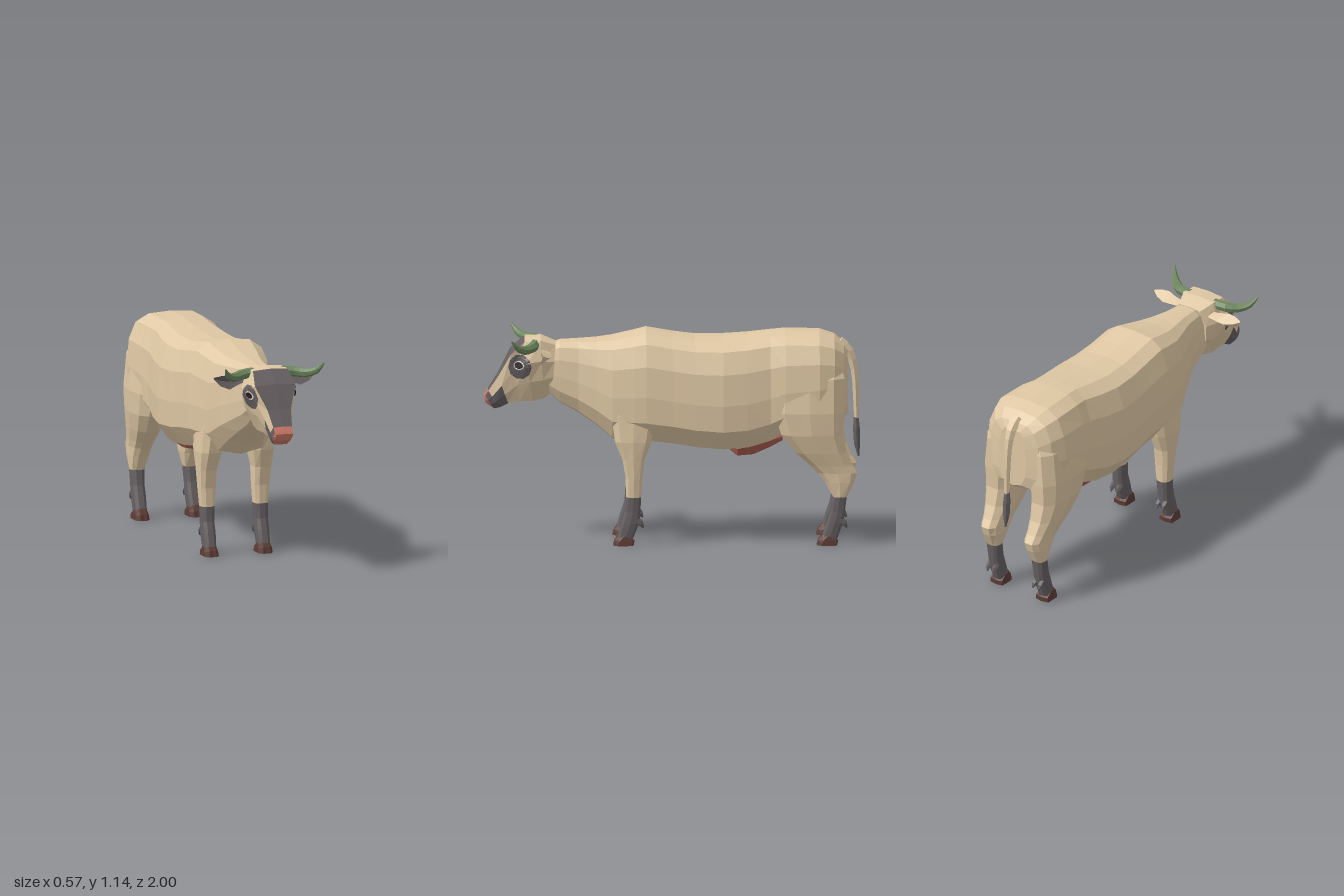
import * as THREE from 'three';

const paint = (name, color) => Object.assign(new THREE.MeshStandardMaterial({ color }), { name });
const tan = paint('tan hide', 0xdfc8a4);
const grey = paint('grey hide', 0x676063);
const nosePink = paint('nose pink', 0xcc7967);
const udderPink = paint('udder pink', 0xae6052);
const green = paint('horn green', 0x6f8860);
const brown = paint('hoof brown', 0x5c3c35);
const white = paint('eye white', 0xe8e4dc);
const dark = paint('eye dark', 0x2a1f1e);

const V = (x, y, z) => new THREE.Vector3(x, y, z);

// Faceted closed skin through rings of points; pick(i, j) gives each quad's material.
function loft(name, rings, materials, pick = () => 0, endPick = 0) {
  const lists = materials.map(() => []);
  const n = rings[0].length;
  let volume = 0;
  const tri = (m, a, b, c) => {
    lists[m].push([a, b, c]);
    volume += a.dot(b.clone().cross(c));
  };
  for (let i = 0; i < rings.length - 1; i++) {
    for (let j = 0; j < n; j++) {
      const k = (j + 1) % n, m = pick(i, j);
      tri(m, rings[i][j], rings[i][k], rings[i + 1][k]);
      tri(m, rings[i][j], rings[i + 1][k], rings[i + 1][j]);
    }
  }
  const cap = (ring, m, flip) => {
    const mid = ring.reduce((s, p) => s.add(p), V(0, 0, 0)).divideScalar(n);
    ring.forEach((p, j) => {
      const q = ring[(j + 1) % n];
      flip ? tri(m, mid, q, p) : tri(m, mid, p, q);
    });
  };
  cap(rings[0], pick(0, 0), true);
  cap(rings[rings.length - 1], endPick, false);
  // Turn the skin outward whichever way the rings run
  const geo = new THREE.BufferGeometry(), pts = [];
  lists.forEach((list, m) => {
    geo.addGroup(pts.length, list.length * 3, m);
    list.forEach(([a, b, c]) => pts.push(...(volume < 0 ? [a, c, b] : [a, b, c])));
  });
  geo.setFromPoints(pts);
  geo.computeVertexNormals();
  const mesh = new THREE.Mesh(geo, materials.length > 1 ? materials : materials[0]);
  mesh.name = name;
  return mesh;
}

const mirrorRings = (rings, s) => rings.map(r => r.map(p => V(p.x * s, p.y, p.z)));
// Half outline from top centre to bottom centre, completed on the other side
const wholeRing = half => [...half, ...half.slice(1, -1).reverse().map(p => V(-p.x, p.y, p.z))];

// Rings of changing radius along a curve
function tubeRings(points, radii, sides, steps) {
  const curve = new THREE.CatmullRomCurve3(points);
  const { normals, binormals } = curve.computeFrenetFrames(steps);
  return Array.from({ length: steps + 1 }, (_, i) => {
    const f = i / steps * (radii.length - 1), k = Math.min(Math.floor(f), radii.length - 2);
    const r = THREE.MathUtils.lerp(radii[k], radii[k + 1], f - k), c = curve.getPoint(i / steps);
    return Array.from({ length: sides }, (_, j) => {
      const a = j / sides * Math.PI * 2;
      return c.clone().addScaledVector(normals[i], r * Math.cos(a)).addScaledVector(binormals[i], r * Math.sin(a));
    });
  });
}

// Level leg ring from [y, front z, back z, inner x, outer x]
const legRing = ([y, f, b, xi, xo]) => Array.from({ length: 10 }, (_, j) => {
  const a = j / 10 * Math.PI * 2, soft = v => Math.sign(v) * Math.abs(v) ** 0.75;
  return V((xi + xo) / 2 + soft(Math.cos(a)) * (xo - xi) / 2, y, (f + b) / 2 + soft(Math.sin(a)) * (f - b) / 2);
});

function makeLeg(name, rows, s, hoofFront, hoofBack) {
  const leg = new THREE.Group();
  leg.name = name;
  const isSock = i => (rows[i][0] < 0.27 ? 1 : 0);
  leg.add(loft('legAndSock', mirrorRings(rows.map(legRing), s), [tan, grey], isSock, 1));
  // Cloven hoof and dewclaws; the toes rise toward the cleft
  for (const [cleft, rim] of [[0.151, 0.112], [0.151, 0.192]]) {
    const c = (cleft + rim) / 2;
    const toe = [[0, 0, hoofFront, hoofBack], [0.025, 0.002, hoofFront - 0.008, hoofBack - 0.002], [0.05, 0.006, hoofFront - 0.032, hoofBack + 0.03]]
      .map(([y, inset, f, r]) => {
        const edge = rim + Math.sign(cleft - rim) * inset, lift = y * 0.35;
        return [V(cleft, y, r), V(edge, y, r + 0.008), V(edge, y, f - 0.03), V(c, y + lift * 0.5, f - 0.004), V(cleft, y + lift, f - 0.008)];
      });
    leg.add(loft('toe', mirrorRings(toe, s), [brown]));
    const z = hoofBack - 0.025;
    const claw = tubeRings([V(c, 0.135, z + 0.01), V(c, 0.115, z - 0.012), V(c, 0.095, z - 0.025)], [0.016, 0.014, 0.004], 5, 2);
    leg.add(loft('dewclaw', mirrorRings(claw, s), [grey]));
  }
  return leg;
}

// Thin oval laid on the side of the head by casting rays inward
function sideDecal(name, head, s, [y, z, ry, rz], lift, material) {
  const ray = new THREE.Raycaster();
  const at = (k, j) => {
    const a = j / 10 * Math.PI * 2;
    const p = V(s, y + Math.sin(a) * ry * k, z + Math.cos(a) * rz * k);
    ray.set(p, V(-s, 0, 0));
    const hit = ray.intersectObject(head)[0];
    return V(hit ? hit.point.x + s * lift : s * 0.08, p.y, p.z);
  };
  const pts = [], levels = 4;
  for (let i = 0; i < levels; i++) for (let j = 0; j < 10; j++) {
    const a = at(i / levels, j), b = at((i + 1) / levels, j), c = at((i + 1) / levels, j + 1), d = at(i / levels, j + 1);
    pts.push(...(s > 0 ? [a, c, b, a, d, c] : [a, b, c, a, c, d]));
  }
  const geo = new THREE.BufferGeometry().setFromPoints(pts);
  geo.computeVertexNormals();
  const mesh = new THREE.Mesh(geo, material);
  mesh.name = name;
  return mesh;
}

export function createModel() {
  const cow = new THREE.Group();
  cow.name = 'cow';

  // Neck and barrel: z, top, bottom, half width
  const outline = [[0, 1], [0.5, 0.985], [0.78, 0.91], [0.95, 0.72], [1, 0.45], [0.97, 0.22], [0.66, 0.05], [0, 0]];
  const bodyRows = [
    [0.66, 1.05, 0.8, 0.09], [0.6, 1.08, 0.745, 0.1], [0.5, 1.085, 0.69, 0.115], [0.4, 1.09, 0.62, 0.155],
    [0.32, 1.1, 0.55, 0.19], [0.2, 1.125, 0.54, 0.22], [0.14, 1.14, 0.535, 0.23], [0, 1.115, 0.52, 0.235],
    [-0.12, 1.1, 0.5, 0.245], [-0.27, 1.1, 0.487, 0.255], [-0.4, 1.11, 0.495, 0.24], [-0.52, 1.125, 0.53, 0.22],
    [-0.6, 1.13, 0.58, 0.235], [-0.78, 1.125, 0.62, 0.243], [-0.86, 1.1, 0.65, 0.215], [-0.91, 1.06, 0.66, 0.165],
    [-0.93, 1.02, 0.68, 0.09]];
  cow.add(loft('body', bodyRows.map(([z, t, b, w]) =>
    wholeRing(outline.map(([x, k]) => V(x * w, b + k * (t - b), z)))), [tan]));

  // Head: top z and y, bottom z and y, half widths from brow down to chin
  const headRows = [
    [0.62, 1.07, 0.64, 0.8, 0.07, 0.105, 0.1, 0.05], [0.7, 1.1, 0.68, 0.765, 0.1, 0.13, 0.11, 0.06],
    [0.785, 1.095, 0.74, 0.75, 0.098, 0.148, 0.11, 0.06], [0.86, 1.025, 0.81, 0.75, 0.114, 0.103, 0.085, 0.05],
    [0.925, 0.9, 0.87, 0.74, 0.065, 0.076, 0.065, 0.04], [0.978, 0.817, 0.915, 0.72, 0.053, 0.062, 0.06, 0.04],
    [0.995, 0.79, 0.945, 0.714, 0.05, 0.057, 0.052, 0.034], [1, 0.78, 0.99, 0.745, 0.044, 0.046, 0.042, 0.026]];
  const headRings = headRows.map(([tz, ty, bz, by, ...w]) => wholeRing(
    [[0, 1], [w[0], 0.98], [w[1], 0.66], [w[2], 0.35], [w[3], 0.03], [0, 0]].map(([x, k]) =>
      V(x, by + k * (ty - by), bz + k * (tz - bz)))));
  const head = loft('head', headRings, [tan, grey, nosePink], (i, j) => {
    const h = Math.min(j, 9 - j);
    if (i === 6 || (i === 5 && h === 0)) return 2;
    return i === 5 || (h === 0 && i >= 2) || (h >= 2 && i === 4) ? 1 : 0;
  }, 2);
  cow.add(head);
  head.updateMatrixWorld();

  const foreRows = [
    [0.88, 0.28, 0.1, 0.04, 0.18], [0.7, 0.33, 0.08, 0.06, 0.206], [0.56, 0.31, 0.11, 0.08, 0.213],
    [0.46, 0.268, 0.148, 0.1, 0.207], [0.36, 0.25, 0.16, 0.103, 0.2], [0.26, 0.248, 0.165, 0.11, 0.19],
    [0.18, 0.255, 0.17, 0.115, 0.187], [0.12, 0.275, 0.175, 0.113, 0.189], [0.035, 0.297, 0.21, 0.118, 0.186]];
  const hindRows = [
    [1.03, -0.6, -0.88, 0.03, 0.16], [0.9, -0.53, -0.92, 0.04, 0.234], [0.72, -0.53, -0.92, 0.05, 0.252],
    [0.6, -0.57, -0.91, 0.06, 0.245], [0.5, -0.65, -0.928, 0.075, 0.225], [0.43, -0.725, -0.958, 0.085, 0.207],
    [0.39, -0.765, -0.983, 0.088, 0.2], [0.34, -0.805, -0.967, 0.092, 0.198], [0.26, -0.85, -0.925, 0.11, 0.19],
    [0.18, -0.835, -0.915, 0.115, 0.187], [0.12, -0.815, -0.905, 0.113, 0.189], [0.035, -0.785, -0.875, 0.118, 0.186]];

  for (const [side, s] of [['left', 1], ['right', -1]]) {
    cow.add(makeLeg(side + 'FrontLeg', foreRows, s, 0.32, 0.205));
    cow.add(makeLeg(side + 'HindLeg', hindRows, s, -0.76, -0.875));

    // Horn
    const horn = tubeRings([V(0.08, 1.07, 0.73), V(0.15, 1.065, 0.745), V(0.2, 1.06, 0.78), V(0.25, 1.078, 0.82), V(0.278, 1.122, 0.855)],
      [0.028, 0.028, 0.025, 0.018, 0.004], 7, 8);
    cow.add(loft(side + 'Horn', mirrorRings(horn, s), [green]));

    // Ear: x, top y, bottom y, z, thickness; grey inside the hollow front
    const ear = [[0.1, 1.045, 1.015, 0.68, 0.025], [0.15, 1.05, 1, 0.685, 0.03], [0.2, 1.06, 0.98, 0.695, 0.036],
      [0.25, 1.055, 1, 0.695, 0.024], [0.285, 1.047, 1.037, 0.69, 0.004]].map(([x, t, b, z, d]) =>
      [V(x, t, z + d * 0.3), V(x, (t + b) / 2, z - d * 0.35), V(x, b, z + d * 0.25), V(x, (t + b) / 2, z - d * 1.3)]);
    cow.add(loft(side + 'Ear', mirrorRings(ear, s), [tan, grey], (i, j) => (j < 2 ? 1 : 0)));

    // Eye patch, eye rim and pupil
    cow.add(sideDecal(side + 'EyePatch', head, s, [0.955, 0.81, 0.068, 0.062], 0.005, grey));
    cow.add(sideDecal(side + 'EyeRim', head, s, [0.964, 0.816, 0.024, 0.028], 0.0075, white));
    cow.add(sideDecal(side + 'Pupil', head, s, [0.964, 0.816, 0.018, 0.022], 0.0098, dark));
  }

  // Udder
  const udder = [[-0.305, 0.505, 0.05, 0.02], [-0.345, 0.51, 0.115, 0.058], [-0.43, 0.53, 0.13, 0.07], [-0.52, 0.555, 0.115, 0.055], [-0.585, 0.565, 0.06, 0.03]]
    .map(([z, y, w, h]) => Array.from({ length: 8 }, (_, j) =>
      V(w * Math.cos(j * Math.PI / 4), y + h * Math.sin(j * Math.PI / 4), z)));
  cow.add(loft('udder', udder, [udderPink]));

  // Tail with tuft
  cow.add(loft('tail', tubeRings([V(0, 1.06, -0.88), V(0, 1.02, -0.935), V(0, 0.92, -0.965), V(0, 0.78, -0.974), V(0, 0.63, -0.977)],
    [0.042, 0.03, 0.022, 0.018, 0.014], 6, 8), [tan]));
  cow.add(loft('tailTuft', tubeRings([V(0, 0.66, -0.975), V(0, 0.6, -0.977), V(0, 0.52, -0.98), V(0, 0.45, -0.988)],
    [0.015, 0.021, 0.019, 0.005], 6, 6), [grey]));
  return cow;
}
